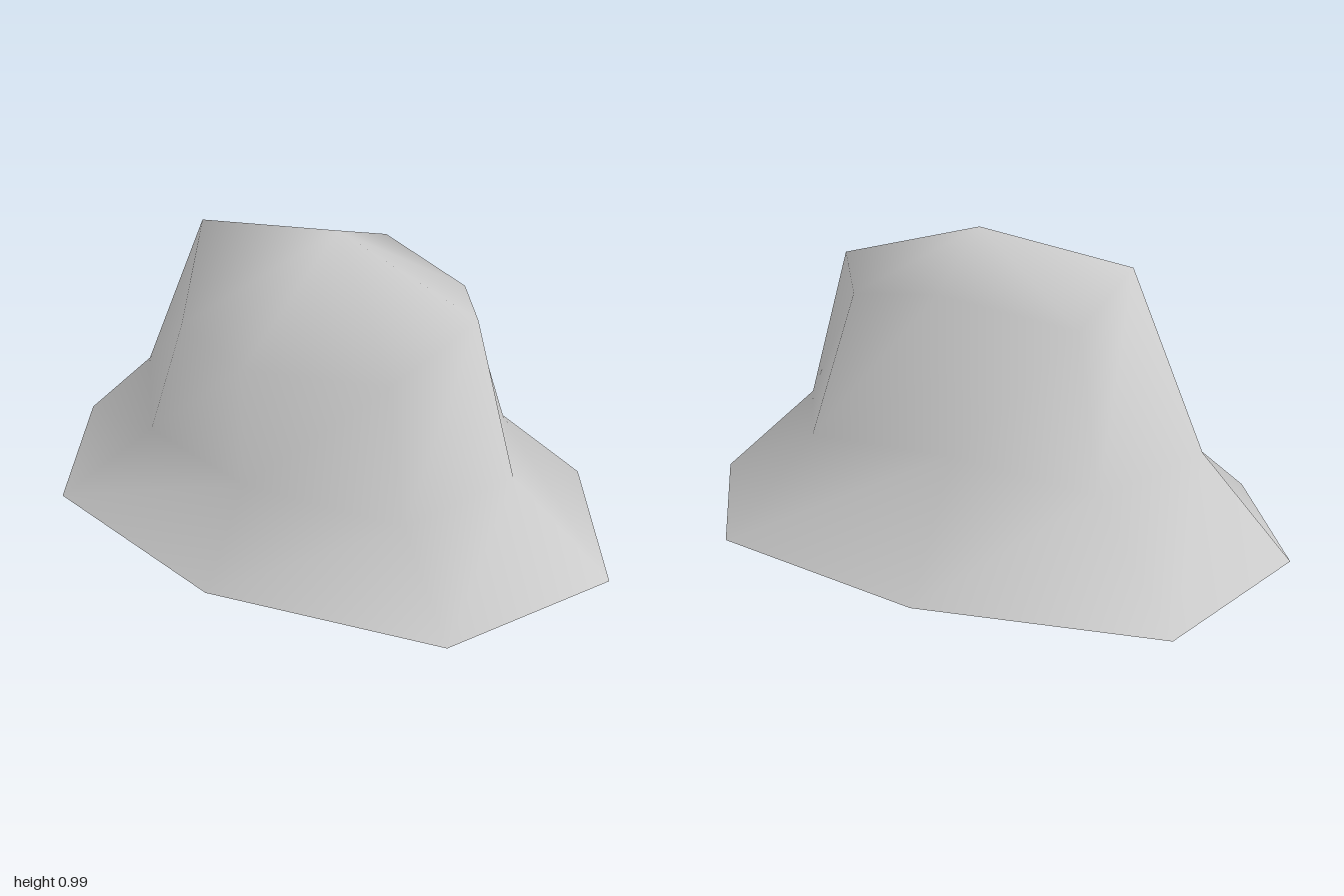
import * as THREE from 'three';

// Eight-sided cross-sections from the ground up, each point [x, y, z],
// running from +x round through +z
const SECTIONS = [
  [[1, 0, 0.0 - 0.02], [0.68, 0, 0.49], [-0.07, 0, 0.645], [-0.76, 0, 0.49],
    [-1, 0, 0.02], [-0.76, 0, -0.54], [0, 0, -0.65], [0.72, 0, -0.5]],
  [[0.67, 0.32, 0.03], [0.47, 0.29, 0.375], [-0.05, 0.29, 0.44], [-0.47, 0.29, 0.34],
    [-0.7, 0.32, 0.03], [-0.47, 0.3, -0.33], [-0.03, 0.385, -0.4], [0.51, 0.31, -0.27]],
  [[0.52, 0.838, 0.035], [0.36, 0.69, 0.27], [-0.07, 0.68, 0.39], [-0.37, 0.68, 0.27],
    [-0.46, 0.905, 0], [-0.36, 0.76, -0.21], [0.05, 0.85, -0.295], [0.37, 0.79, -0.21]],
];
const PEAK = [0.03, 0.985, -0.01];

// Skins the cross-sections and closes the top with a fan to the peak
function skin(sections, peak) {
  const n = sections[0].length;
  const index = [];
  for (let s = 0; s < sections.length; s++) {
    for (let i = 0; i < n; i++) {
      const a = s * n + i;
      const b = s * n + (i + 1) % n;
      if (s === sections.length - 1) index.push(a, sections.length * n, b);
      else index.push(a, a + n, b, a + n, b + n, b);
    }
  }
  const geometry = new THREE.BufferGeometry();
  geometry.setAttribute('position',
    new THREE.Float32BufferAttribute([...sections.flat(2), ...peak], 3));
  geometry.setIndex(index);
  geometry.computeVertexNormals();
  return geometry;
}

export function createModel() {
  const group = new THREE.Group();
  group.name = 'rock';
  const stone = new THREE.MeshStandardMaterial({ color: 0xcccccc, side: THREE.DoubleSide });
  stone.name = 'grey stone';

  // Open-bottomed rock shell with a flared foot
  const shell = new THREE.Mesh(skin(SECTIONS, PEAK), stone);
  shell.name = 'rockShell';
  group.add(shell);
  return group;
}
